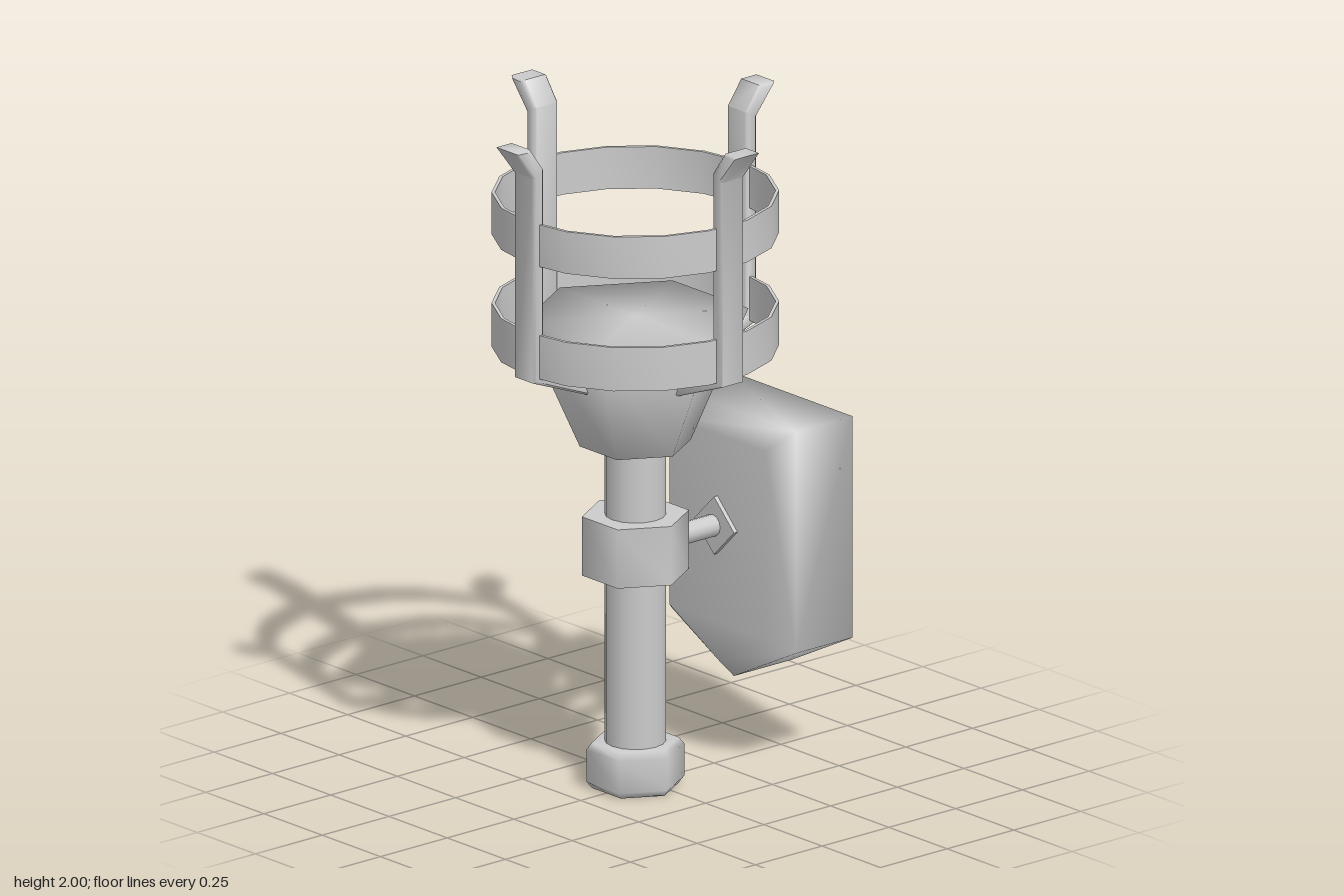
import * as THREE from 'three';
import { mergeVertices, toCreasedNormals } from 'three/addons/utils/BufferGeometryUtils.js';
import { ConvexGeometry } from 'three/addons/geometries/ConvexGeometry.js';

const AXIS_Z = 0.045; // the torch stands slightly in front of centre
const material = new THREE.MeshStandardMaterial({ color: 0xcccccc });

function part(name, geometry, parent) {
  const mesh = new THREE.Mesh(geometry, material);
  mesh.name = name;
  parent.add(mesh);
  return mesh;
}

// Share every vertex so the shading runs softly over the edges
function soften(geometry) {
  geometry.deleteAttribute('normal');
  geometry.deleteAttribute('uv');
  const merged = mergeVertices(geometry, 1e-4);
  merged.computeVertexNormals();
  return merged;
}

// Revolve [radius, y] pairs with a given number of sides
function turned(pairs, sides) {
  return new THREE.LatheGeometry(pairs.map(([r, y]) => new THREE.Vector2(r, y)), sides);
}

// Six-sided turned solid with corners on the x axis
const hexagonal = (pairs) => turned(pairs, 6).rotateY(Math.PI / 6);

export function createModel() {
  const model = new THREE.Group();
  model.name = 'wallTorch';
  const torch = new THREE.Group();
  torch.name = 'torch';
  torch.position.z = AXIS_Z;
  model.add(torch);

  // Handle with its bevelled foot and the clamp around it
  part('footKnob', soften(hexagonal([[0, 0], [0.125, 0], [0.141, 0.02], [0.141, 0.115], [0.125, 0.135], [0, 0.135]])), torch);
  part('handle', new THREE.CylinderGeometry(0.087, 0.087, 0.93, 16).translate(0, 0.575, 0), torch);
  part('clamp', toCreasedNormals(hexagonal([[0, 0.635], [0.154, 0.635], [0.154, 0.81], [0, 0.81]]), 1.2), torch);

  // Flared six-sided bowl
  part('bowl', soften(hexagonal([[0, 1.02], [0.16, 1.02], [0.325, 1.4], [0, 1.4]])), torch);

  // Two thin hoops
  for (const [name, low, high] of [['lowerHoop', 1.31, 1.44], ['upperHoop', 1.645, 1.77]]) {
    const profile = [[0.396, low], [0.406, low], [0.406, high], [0.396, high], [0.396, low]];
    part(name, toCreasedNormals(turned(profile, 18), 0.6), torch);
  }

  // Four bent prongs
  const outline = [[0.2, 1.215], [0.418, 1.3], [0.418, 1.91], [0.487, 2], [0.43, 2], [0.38, 1.93], [0.38, 1.325], [0.2, 1.25]];
  const bevel = 0.007;
  const width = 0.09;
  const prong = toCreasedNormals(new THREE.ExtrudeGeometry(
    new THREE.Shape(outline.map(([x, y]) => new THREE.Vector2(x, y))),
    { depth: width - 2 * bevel, bevelThickness: bevel, bevelSize: bevel, bevelOffset: -bevel, bevelSegments: 1 }
  ).translate(0, 0, bevel - width / 2), 0.9);
  for (let i = 0; i < 4; i++) part('prong' + (i + 1), prong, torch).rotation.y = i * Math.PI / 2;

  // Wall mount: rod, diamond plate and shield-shaped block
  const mount = new THREE.Group();
  mount.name = 'wallMount';
  model.add(mount);
  part('rod', new THREE.CylinderGeometry(0.032, 0.032, 0.22, 12).rotateX(Math.PI / 2).translate(0, 0.71, -0.15), mount);
  part('diamondPlate', new THREE.BoxGeometry(0.122, 0.122, 0.02)
    .rotateZ(Math.PI / 4).translate(0.005, 0.71, -0.255), mount);

  const shieldLoop = (half, top, shoulder, tip, z) => [
    [-half, top], [half, top], [half, shoulder], [0, tip], [-half, shoulder]
  ].map(([x, y]) => new THREE.Vector3(x + 0.005, y, z));
  part('shield', soften(new ConvexGeometry([
    ...shieldLoop(0.266, 1.04, 0.38, 0.245, -0.532),
    ...shieldLoop(0.266, 1.04, 0.38, 0.245, -0.32),
    ...shieldLoop(0.205, 0.98, 0.42, 0.31, -0.258)
  ])), mount);

  return model;
}
